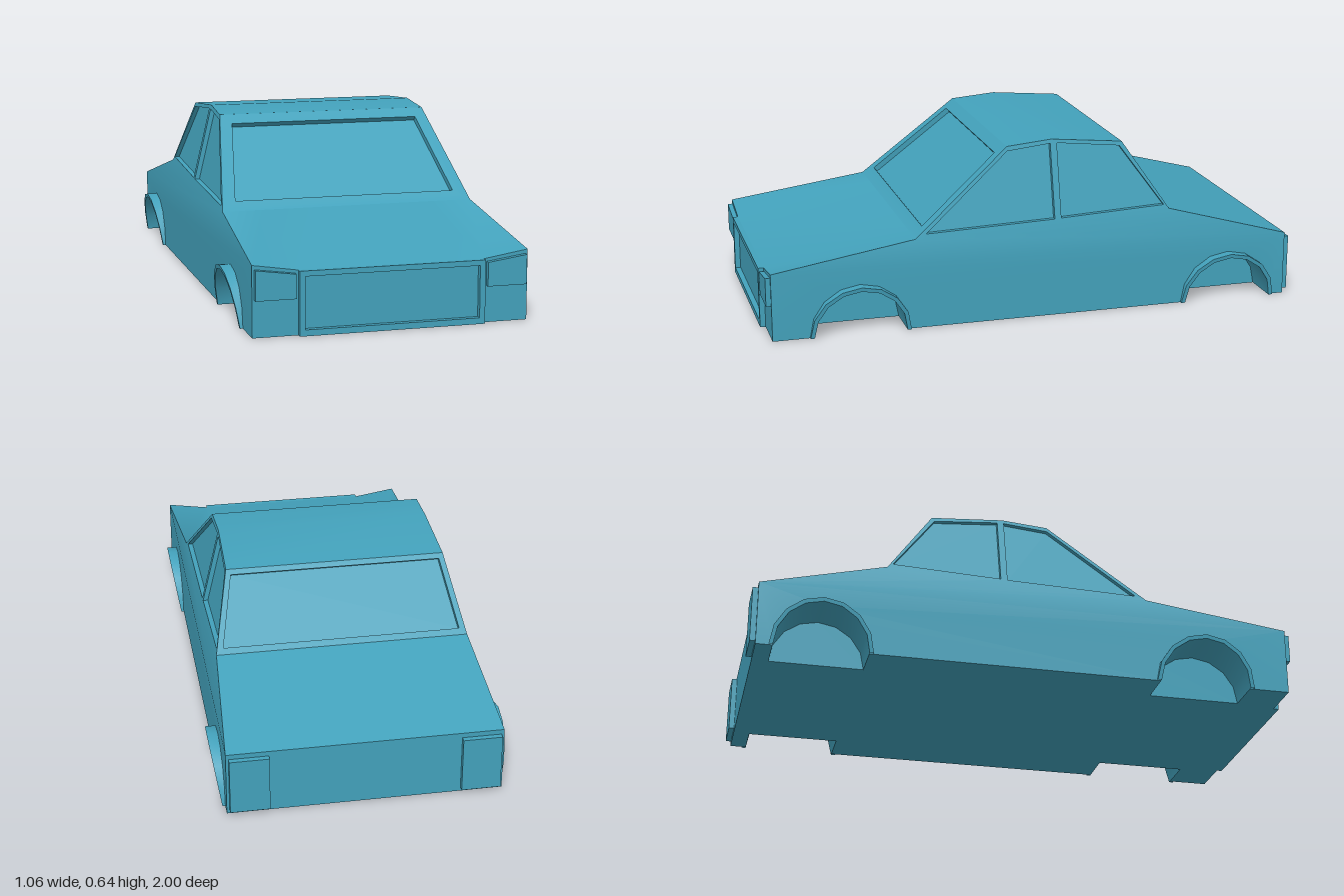
import * as THREE from 'three';
import { toCreasedNormals } from 'three/addons/utils/BufferGeometryUtils.js';

const material = new THREE.MeshStandardMaterial({ color: 0x43a2bc, side: THREE.DoubleSide });
const V = (x, y, z) => new THREE.Vector3(x, y, z);

// A growing list of triangles
class Skin {
  constructor() { this.data = []; }
  tri(a, b, c, flip) {
    for (const p of flip ? [a, c, b] : [a, b, c]) this.data.push(p.x, p.y, p.z);
  }
  quad(a, b, c, d, flip) { this.tri(a, b, c, flip); this.tri(a, c, d, flip); }
  strip(A, B) {
    for (let i = 0; i < A.length - 1; i++) this.quad(A[i], A[i + 1], B[i + 1], B[i]);
  }
  // Flat outline (with holes) laid onto the car by map(a, b, depth)
  panel(pts, holes, map, flip, depth = 0) {
    const to2 = l => l.map(p => new THREE.Vector2(p[0], p[1]));
    const shape = new THREE.Shape(to2(pts));
    shape.holes = holes.map(h => new THREE.Path(to2(h)));
    const g = new THREE.ShapeGeometry(shape).toNonIndexed();
    const p = g.attributes.position;
    const at = i => map(p.getX(i), p.getY(i), depth);
    for (let i = 0; i < p.count; i += 3) this.tri(at(i), at(i + 1), at(i + 2), flip);
  }
  // Reveal walls around an inset opening (corners counter-clockwise)
  reveal(hole, map, flip, depth) {
    hole.forEach((p, i) => {
      const q = hole[(i + 1) % hole.length];
      this.quad(map(...p, 0), map(...q, 0), map(...q, depth), map(...p, depth), flip);
    });
  }
  mirror() {
    const d = this.data, n = d.length;
    for (let i = 0; i < n; i += 9)
      for (const k of [0, 6, 3]) d.push(-d[i + k], d[i + k + 1], d[i + k + 2]);
  }
  mesh(name) {
    const g = new THREE.BufferGeometry();
    g.setAttribute('position', new THREE.Float32BufferAttribute(this.data, 3));
    const m = new THREE.Mesh(toCreasedNormals(g, THREE.MathUtils.degToRad(33)), material);
    m.name = name;
    return m;
  }
}

// Side profile of hood, cabin and trunk as [z, y], and half width by height
const profile = [[0.98, 0.25], [0.45, 0.33], [0.09, 0.63], [-0.08, 0.645],
  [-0.35, 0.62], [-0.52, 0.365], [-0.98, 0.24]];
const halfWidth = y => 0.49 - Math.max(0, y - 0.25) * 0.24;

const wheels = [-0.75, 0.66];
const arcPoints = (c, r) => Array.from({ length: 9 }, (_, i) => {
  const t = Math.PI * (1 - i / 8);
  return [c + r * Math.cos(t), r * Math.sin(t)];
});
const R = 0.185, r = 0.17, wellX = 0.35;

// Sloped pane between two profile points, addressed by (x, y)
function slope(i, sign) {
  const [z0, y0] = profile[i], [z1, y1] = profile[i + 1];
  const len = Math.hypot(z1 - z0, y1 - y0);
  const nz = sign * Math.abs(y1 - y0) / len, ny = Math.abs(z1 - z0) / len;
  return (x, y, d) => V(x, y - d * ny, z0 + (y - y0) / (y1 - y0) * (z1 - z0) - d * nz);
}

function extruded(name, pts, z, depth, hole) {
  const to2 = l => l.map(p => new THREE.Vector2(...p));
  const shape = new THREE.Shape(to2(pts));
  if (hole) shape.holes.push(new THREE.Path(to2(hole)));
  const g = new THREE.ExtrudeGeometry(shape, { depth, bevelEnabled: false });
  const m = new THREE.Mesh(g.translate(0, 0, z), material);
  m.name = name;
  return m;
}
const rect = (x0, x1, y0, y1) => [[x0, y0], [x1, y0], [x1, y1], [x0, y1]];

export function createModel() {
  const car = new THREE.Group();
  car.name = 'car';
  const body = new Skin(), sides = new Skin(), sideGlass = new Skin();
  const arches = new Skin(), screens = new Skin();

  // Sides: cabin with two window openings, lower panel with wheel cut-outs
  const sideMap = (z, y, d) => V(halfWidth(y) - d, y, z);
  const windows = [
    [[-0.075, 0.36], [0.41, 0.345], [0.09, 0.613], [-0.075, 0.63]],
    [[-0.5, 0.38], [-0.1, 0.362], [-0.1, 0.63], [-0.34, 0.605]],
  ];
  sides.panel(profile, windows, sideMap, true);
  for (const w of windows) {
    sides.reveal(w, sideMap, true, 0.018);
    sideGlass.panel(w, [], sideMap, true, 0.018);
  }
  sides.panel([[-0.98, 0], ...wheels.flatMap(c => arcPoints(c, r)),
    [0.98, 0], [0.98, 0.25], [-0.98, 0.24]], [], sideMap, true);
  sides.mirror();
  sideGlass.mirror();

  // Hood, dipping in the middle of its front edge
  const wh = halfWidth(0.33);
  body.strip(
    [V(-0.49, 0.25, 0.98), V(-0.33, 0.225, 0.98), V(0.33, 0.225, 0.98), V(0.49, 0.25, 0.98)],
    [-wh, -0.32, 0.32, wh].map(x => V(x, 0.33, 0.45)));

  // Roof and trunk lid
  const row = ([z, y]) => [V(-halfWidth(y), y, z), V(halfWidth(y), y, z)];
  for (const i of [2, 3, 5]) body.strip(row(profile[i]), row(profile[i + 1]));

  // Windshield and rear window with inset panes: [profile index, facing, x and y of opening]
  for (const [i, sign, xb, yb, xt, yt] of [
    [1, 1, 0.415, 0.36, 0.36, 0.6], [4, -1, 0.435, 0.385, 0.385, 0.603]]) {
    const map = slope(i, sign), flip = sign < 0;
    const ys = [profile[i][1], profile[i + 1][1]].sort();
    const [w0, w1] = ys.map(halfWidth);
    const hole = [[-xb, yb], [xb, yb], [xt, yt], [-xt, yt]];
    body.panel([[-w0, ys[0]], [w0, ys[0]], [w1, ys[1]], [-w1, ys[1]]], [hole], map, flip);
    body.reveal(hole, map, flip, 0.02);
    screens.panel(hole, [], map, flip, 0.02);
  }

  // Front and rear faces
  body.panel([[-0.49, 0], [0.49, 0], [0.49, 0.25], [0.33, 0.225], [-0.33, 0.225], [-0.49, 0.25]],
    [], (x, y) => V(x, y, 0.98), false);
  body.panel(rect(-0.49, 0.49, 0, 0.24), [], (x, y) => V(x, y, -0.98), true);

  // Floor, notched at the wheel wells
  const edge = [[0.49, -0.98], ...wheels.flatMap(c =>
    [[0.49, c - r], [wellX, c - r], [wellX, c + r], [0.49, c + r]]), [0.49, 0.98]];
  body.panel([...edge, ...edge.map(([x, z]) => [-x, z]).reverse()], [], (x, z) => V(x, 0, z), false);

  // Flared wheel arches running into the wells
  for (const c of wheels) {
    const flare = y => 0.5 + 0.03 * y / R;
    const ring = (rad, x) => arcPoints(c, rad).map(([z, y]) => V(x(y), y, z));
    const rows = [ring(R, () => 0.485), ring(R, flare), ring(r, flare), ring(r, () => wellX)];
    for (let i = 0; i < 3; i++) arches.strip(rows[i], rows[i + 1]);
    arches.panel(arcPoints(c, r), [], (z, y) => V(wellX, y, z), true);
  }
  arches.mirror();

  car.add(body.mesh('body'), sides.mesh('bodySides'), sideGlass.mesh('sideWindows'),
    screens.mesh('windshieldAndRearWindow'), arches.mesh('wheelArches'));

  // Grille frame, headlights and taillights
  car.add(extruded('grilleFrame', rect(-0.33, 0.33, 0, 0.225), 0.98, 0.02,
    rect(-0.31, 0.31, 0.022, 0.206)));
  for (const s of [-1, 1]) {
    car.add(extruded('headlight',
      [[s * 0.34, 0.13], [s * 0.482, 0.13], [s * 0.482, 0.235], [s * 0.34, 0.215]], 0.98, 0.018));
    car.add(extruded('taillight', rect(s * 0.41 - 0.07, s * 0.41 + 0.07, 0.015, 0.222), -1, 0.02));
  }
  return car;
}
